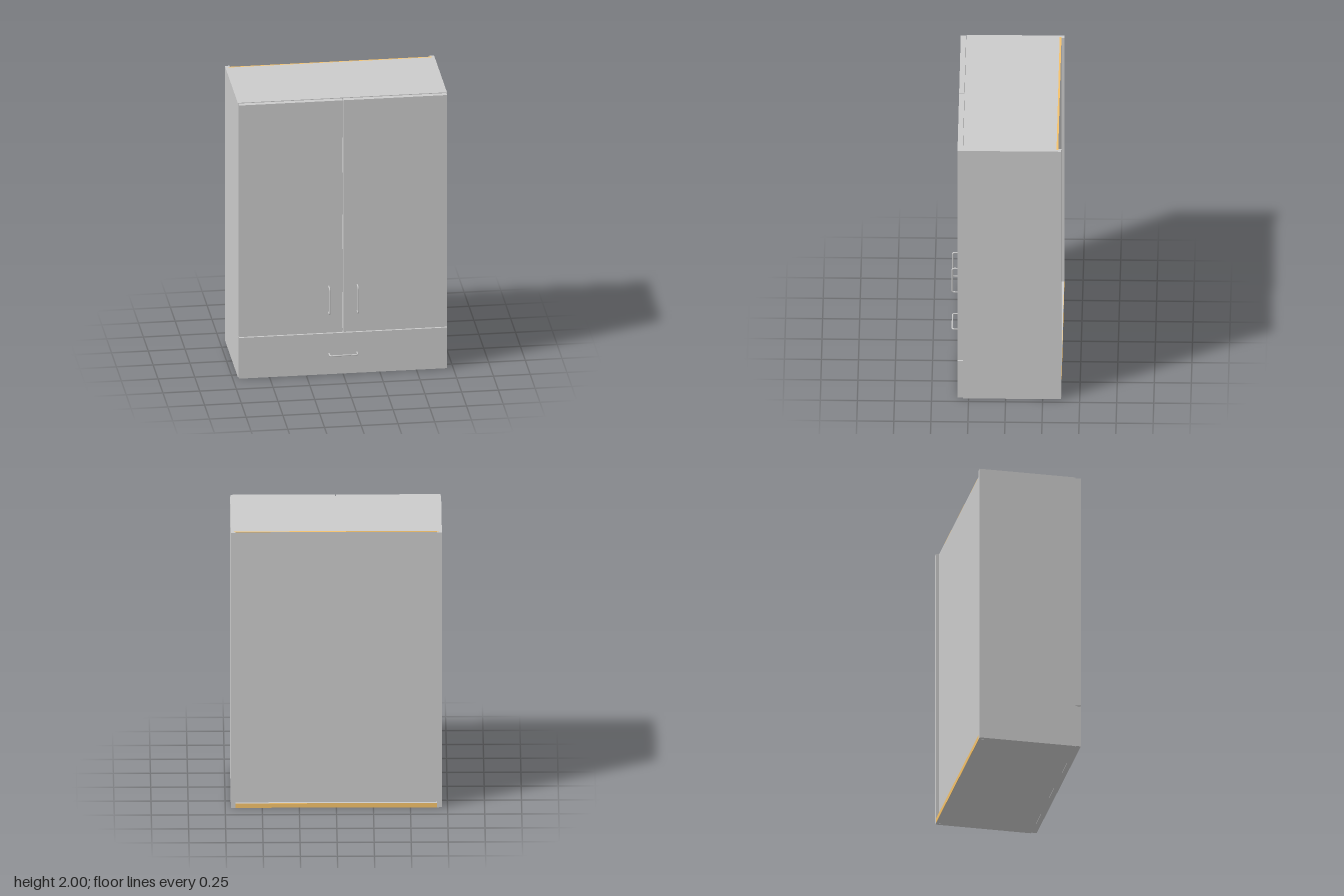
import * as THREE from 'three';

const grey = new THREE.MeshStandardMaterial({ color: 0xcccccc });
const wood = new THREE.MeshStandardMaterial({ color: 0xf5c26b });

// Outer half width, board thickness, height and depth limits
const W = 0.712, T = 0.032, H = 2, BACK = -0.375, CARCASS = 0.287, FRONT = 0.325;
const IN = W - T;
const GROOVE = { z0: -0.355, z1: -0.343, depth: 0.012 };

export function createModel() {
  const model = new THREE.Group();
  model.name = 'wardrobe';

  // Box given by its lower and upper corners
  function board(name, [x0, y0, z0], [x1, y1, z1], material = grey) {
    const mesh = new THREE.Mesh(new THREE.BoxGeometry(x1 - x0, y1 - y0, z1 - z0), material);
    mesh.position.set((x0 + x1) / 2, (y0 + y1) / 2, (z0 + z1) / 2);
    mesh.name = name;
    model.add(mesh);
    return mesh;
  }

  // Side panels: plan section with a groove for the back panel, extruded upward
  for (const s of [1, -1]) {
    const { z0, z1, depth } = GROOVE;
    const plan = [
      [IN, BACK], [W, BACK], [W, CARCASS], [IN, CARCASS],
      [IN, z1], [IN + depth, z1], [IN + depth, z0], [IN, z0],
    ].map(([x, z]) => new THREE.Vector2(s * x, -z));
    const geometry = new THREE.ExtrudeGeometry(new THREE.Shape(plan), { depth: H, bevelEnabled: false });
    geometry.rotateX(-Math.PI / 2);
    const side = new THREE.Mesh(geometry, grey);
    side.name = s > 0 ? 'leftSidePanel' : 'rightSidePanel';
    model.add(side);
  }

  // Top, bottom and inner boards
  board('topPanel', [-IN, H - T, GROOVE.z1], [IN, H, CARCASS]);
  board('bottomPanel', [-IN, 0, BACK + 0.002], [IN, T, CARCASS]);
  board('bottomRawEdge', [-IN, 0, BACK], [IN, T, BACK + 0.002], wood);
  board('drawerDivider', [-IN, 0.287, GROOVE.z1], [IN, 0.287 + T, CARCASS]);
  for (const y of [0.87, 1.43]) board('shelf', [-IN, y - T / 2, GROOVE.z1], [IN, y + T / 2, CARCASS - 0.02]);

  // Back panel set into the grooves, with its raw top edge showing
  const bw = IN + GROOVE.depth;
  board('backPanel', [-bw, T, GROOVE.z0], [bw, H - 0.002, GROOVE.z1]);
  board('backPanelRawEdge', [-bw, H - 0.002, GROOVE.z0], [bw, H, GROOVE.z1], wood);

  // Doors and drawer front, slightly inset from the carcass outline
  const edge = W - 0.004, gap = 0.003, z = CARCASS + 0.002;
  board('leftDoor', [gap, 0.306, z], [edge, H - 0.004, FRONT]);
  board('rightDoor', [-edge, 0.306, z], [-gap, H - 0.004, FRONT]);
  board('drawerFront', [-edge, 0.003, z], [edge, 0.3, FRONT]);

  // Bow handle: round bar with bent corners, lying along x
  const half = 0.095, reach = 0.045, bend = 0.015;
  const v = (x, d) => new THREE.Vector3(x, 0, d);
  const path = new THREE.CurvePath();
  path.add(new THREE.LineCurve3(v(-half, -0.002), v(-half, reach - bend)));
  path.add(new THREE.QuadraticBezierCurve3(v(-half, reach - bend), v(-half, reach), v(bend - half, reach)));
  path.add(new THREE.LineCurve3(v(bend - half, reach), v(half - bend, reach)));
  path.add(new THREE.QuadraticBezierCurve3(v(half - bend, reach), v(half, reach), v(half, reach - bend)));
  path.add(new THREE.LineCurve3(v(half, reach - bend), v(half, -0.002)));
  const bar = new THREE.TubeGeometry(path, 64, 0.005, 10);
  for (const [name, x, y, turn] of [
    ['leftDoorHandle', 0.097, 0.549, Math.PI / 2],
    ['rightDoorHandle', -0.097, 0.549, Math.PI / 2],
    ['drawerHandle', 0, 0.153, 0],
  ]) {
    const handle = new THREE.Mesh(bar, grey);
    handle.name = name;
    handle.position.set(x, y, FRONT);
    handle.rotation.z = turn;
    model.add(handle);
  }

  return model;
}
